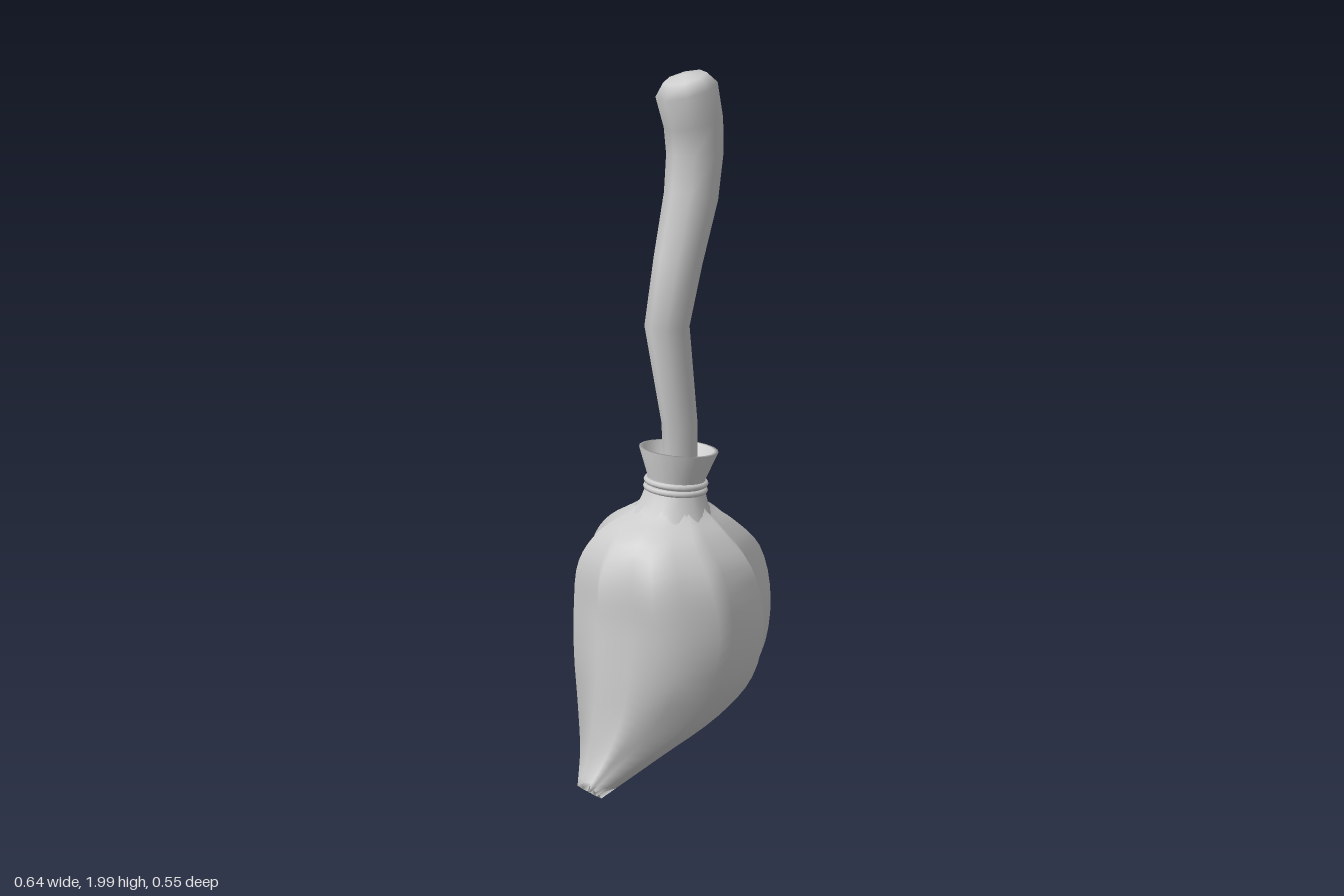
import * as THREE from 'three';

const material = new THREE.MeshStandardMaterial({ color: 0xcccccc });
const openMaterial = new THREE.MeshStandardMaterial({ color: 0xcccccc, side: THREE.DoubleSide });

function mesh(name, geometry, mat = material) {
  const m = new THREE.Mesh(geometry, mat);
  m.name = name;
  return m;
}

// Skin over closed rings listed bottom to top, counter-clockwise from above.
// Optional points close the two ends.
function loft(rings, bottom, top) {
  const n = rings[0].length, last = (rings.length - 1) * n;
  const points = rings.flat();
  const index = [];
  for (let i = 0; i < rings.length - 1; i++) {
    for (let j = 0; j < n; j++) {
      const k = (j + 1) % n;
      const a = i * n + j, b = i * n + k, c = b + n, d = a + n;
      index.push(a, b, c, a, c, d);
    }
  }
  if (bottom) {
    const p = points.push(bottom) - 1;
    for (let j = 0; j < n; j++) index.push(p, (j + 1) % n, j);
  }
  if (top) {
    const p = points.push(top) - 1;
    for (let j = 0; j < n; j++) index.push(p, last + j, last + (j + 1) % n);
  }
  const g = new THREE.BufferGeometry().setFromPoints(points);
  g.setIndex(index);
  g.computeVertexNormals();
  return g;
}

// Fluted bristle bundle: each ring is a tilted ten-pointed star
function bristles() {
  // left x, left y, right x, right y, half depth, valley ratio
  const sections = [
    [-0.32, 0.05, -0.262, 0.004, 0.042, 0.5],
    [-0.295, 0.13, -0.03, 0.1, 0.11, 0.7],
    [-0.277, 0.24, 0.2, 0.215, 0.2, 0.78],
    [-0.262, 0.38, 0.295, 0.33, 0.268, 0.82],
    [-0.25, 0.52, 0.32, 0.51, 0.289, 0.83],
    [-0.24, 0.66, 0.285, 0.68, 0.255, 0.83],
    [-0.185, 0.75, 0.205, 0.765, 0.185, 0.83],
    [-0.06, 0.82, 0.13, 0.82, 0.095, 0.88],
    [-0.02, 0.88, 0.1, 0.88, 0.06, 1],
  ];
  const columns = [];
  for (let j = 0; j < 20; j++) {
    const a = j * Math.PI / 10;
    const path = sections.map(([xl, yl, xr, yr, depth, valley]) => {
      const k = j % 2 ? valley : 1;
      const c = Math.cos(a) * k;
      return new THREE.Vector3(
        (xl + xr) / 2 + (xr - xl) / 2 * c,
        (yl + yr) / 2 + (yr - yl) / 2 * c,
        -depth * k * Math.sin(a));
    });
    const curve = new THREE.CatmullRomCurve3(path);
    columns.push(Array.from({ length: 33 }, (_, i) => curve.getPoint(i / 32)));
  }
  const rings = columns[0].map((_, i) => columns.map(col => col[i]));
  return loft(rings, new THREE.Vector3(-0.285, 0.06, 0));
}

// Crooked eight-sided handle, its rings set across the bend
function handle() {
  // x, y, radius, tilt
  const stations = [
    [0.062, 0.88, 0.048, 0],
    [0.058, 1.05, 0.05, 0.1],
    [0.01, 1.33, 0.061, 0],
    [0.05, 1.5, 0.066, -0.26],
    [0.098, 1.67, 0.073, -0.2],
    [0.111, 1.78, 0.076, 0.02],
    [0.105, 1.86, 0.079, 0.22],
    [0.079, 1.945, 0.083, 0.33],
    [0.073, 1.975, 0.058, 0.33],
  ];
  const rings = stations.map(([x, y, r, tilt]) =>
    Array.from({ length: 8 }, (_, j) => {
      const a = j * Math.PI / 4;
      const c = r * Math.cos(a);
      return new THREE.Vector3(x + c * Math.cos(tilt), y + c * Math.sin(tilt), -r * Math.sin(a));
    }));
  return loft(rings, null, new THREE.Vector3(0.071, 1.983, 0));
}

// Binding skirt ending in ten pointed teeth
function teeth() {
  const ring = (rOut, yOut, rIn, yIn) => Array.from({ length: 20 }, (_, j) => {
    const a = (j + 0.5) * Math.PI / 10;
    const [r, y] = j % 2 ? [rIn, yIn] : [rOut, yOut];
    return new THREE.Vector3(r * Math.cos(a), y, -r * Math.sin(a));
  });
  return loft([
    ring(0.132, -0.108, 0.102, -0.055),
    ring(0.1, -0.05, 0.096, -0.045),
    ring(0.082, 0.0, 0.082, 0.0),
  ]);
}

function collar() {
  const group = new THREE.Group();
  group.name = 'collar';
  const profile = [[0.081, -0.01], [0.083, 0.03], [0.112, 0.108], [0.1, 0.108], [0.07, 0.035], [0, 0.03]]
    .map(([r, y]) => new THREE.Vector2(r, y));
  group.add(mesh('collarCup', new THREE.LatheGeometry(profile, 20), openMaterial));
  for (const y of [-0.005, 0.014]) {
    const band = mesh('bindingRing', new THREE.TorusGeometry(0.083, 0.009, 8, 24));
    band.rotation.x = Math.PI / 2;
    band.position.y = y;
    group.add(band);
  }
  group.add(mesh('bindingTeeth', teeth(), openMaterial));
  group.position.set(0.044, 0.867, 0);
  group.rotation.z = -0.11;
  return group;
}

export function createModel() {
  const broom = new THREE.Group();
  broom.name = 'broom';
  broom.add(mesh('bristles', bristles(), openMaterial), collar(), mesh('handle', handle()));
  return broom;
}
